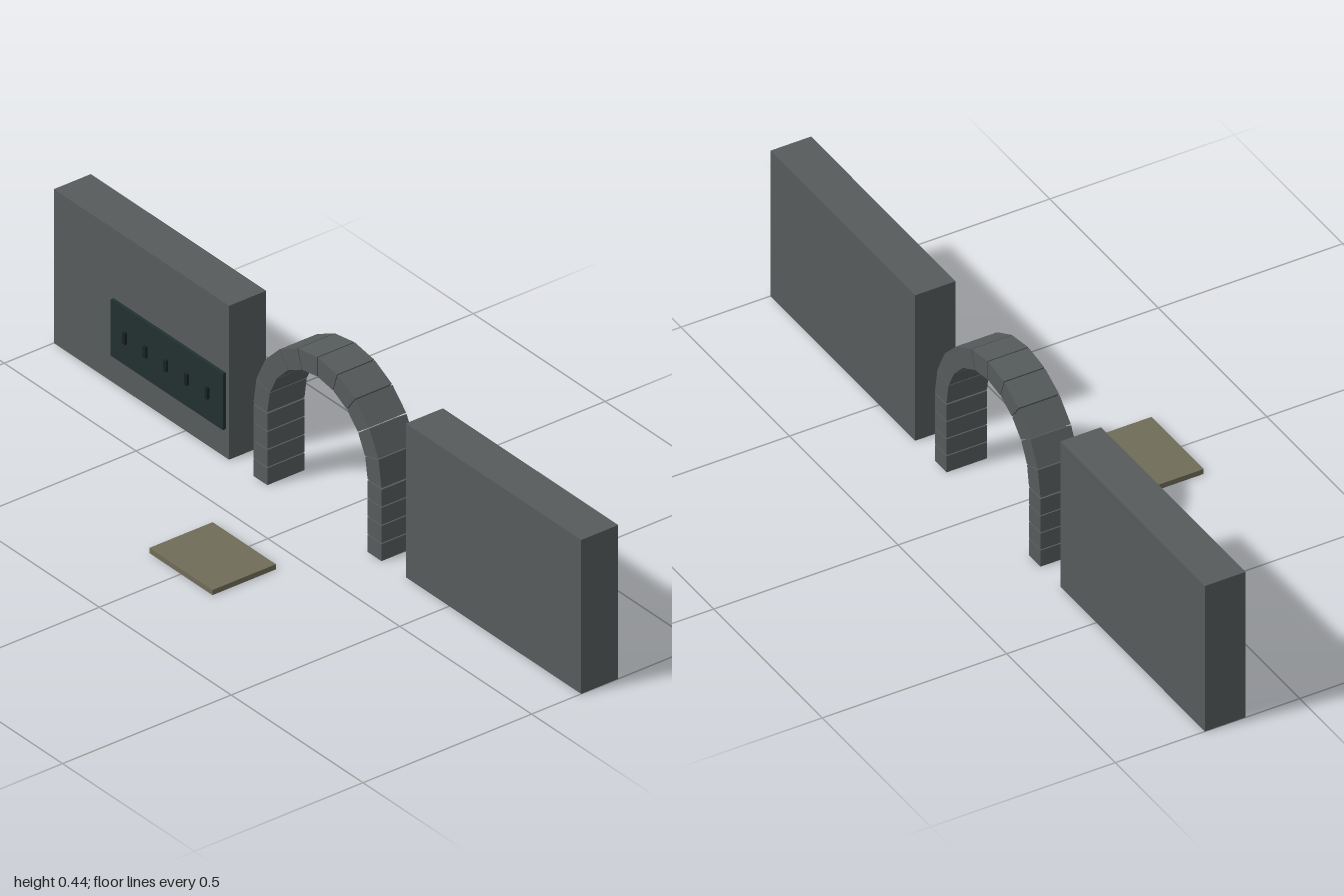
import * as THREE from 'three';

const material = (name, color) => {
  const m = new THREE.MeshStandardMaterial({ color });
  m.name = name;
  return m;
};

export function createModel() {
  const model = new THREE.Group();
  model.name = 'archwayWithWalls';

  const stone = material('grey stone', 0x565b5c);
  const dark = material('dark green board', 0x223030);
  const peg = material('peg black', 0x182222);
  const matColor = material('tan mat', 0x706c59);

  // Box given by its min and max corners
  const box = (name, mat, [x0, y0, z0], [x1, y1, z1], parent = model) => {
    const mesh = new THREE.Mesh(new THREE.BoxGeometry(x1 - x0, y1 - y0, z1 - z0), mat);
    mesh.position.set((x0 + x1) / 2, (y0 + y1) / 2, (z0 + z1) / 2);
    mesh.name = name;
    parent.add(mesh);
    return mesh;
  };

  const zBack = -0.257, zFront = -0.147;

  // Side walls
  box('rightWall', stone, [-1, 0, zBack], [-0.335, 0.421, zFront]);
  box('leftWall', stone, [0.335, 0, zBack], [1, 0.421, zFront]);

  // Stone arch: stacked pillar blocks and a ring of wedge blocks
  const arch = new THREE.Group();
  arch.name = 'arch';
  model.add(arch);
  const inner = 0.19, outer = 0.243, spring = 0.198, gap = 0.003;

  const courses = 4, step = spring / courses;
  for (const side of [-1, 1]) {
    for (let i = 0; i < courses; i++) {
      const xs = [side * inner, side * outer].sort((a, b) => a - b);
      box('pillarBlock', stone, [xs[0], i * step, zBack], [xs[1], (i + 1) * step - gap, zFront], arch);
    }
  }

  const wedges = 10;
  for (let i = 0; i < wedges; i++) {
    const a0 = (i / wedges) * Math.PI + 0.006;
    const a1 = ((i + 1) / wedges) * Math.PI - 0.006;
    const at = (r, a) => new THREE.Vector2(r * Math.cos(a), spring + r * Math.sin(a));
    const shape = new THREE.Shape([at(inner, a0), at(outer, a0), at(outer, a1), at(inner, a1)]);
    const geo = new THREE.ExtrudeGeometry(shape, { depth: zFront - zBack, bevelEnabled: false });
    const wedge = new THREE.Mesh(geo, stone);
    wedge.position.z = zBack;
    wedge.name = 'archBlock';
    arch.add(wedge);
  }

  // Board with a row of pegs in front of the right wall
  box('pegBoard', dark, [-0.77, 0.08, -0.145], [-0.345, 0.234, -0.136]);
  for (let i = 0; i < 5; i++) {
    const x = -0.713 + i * 0.078;
    box('peg', peg, [x - 0.005, 0.141, -0.136], [x + 0.005, 0.172, -0.129]);
  }

  // Floor mat
  box('floorMat', matColor, [-0.12, 0, 0.07], [0.12, 0.014, 0.258]);

  return model;
}
